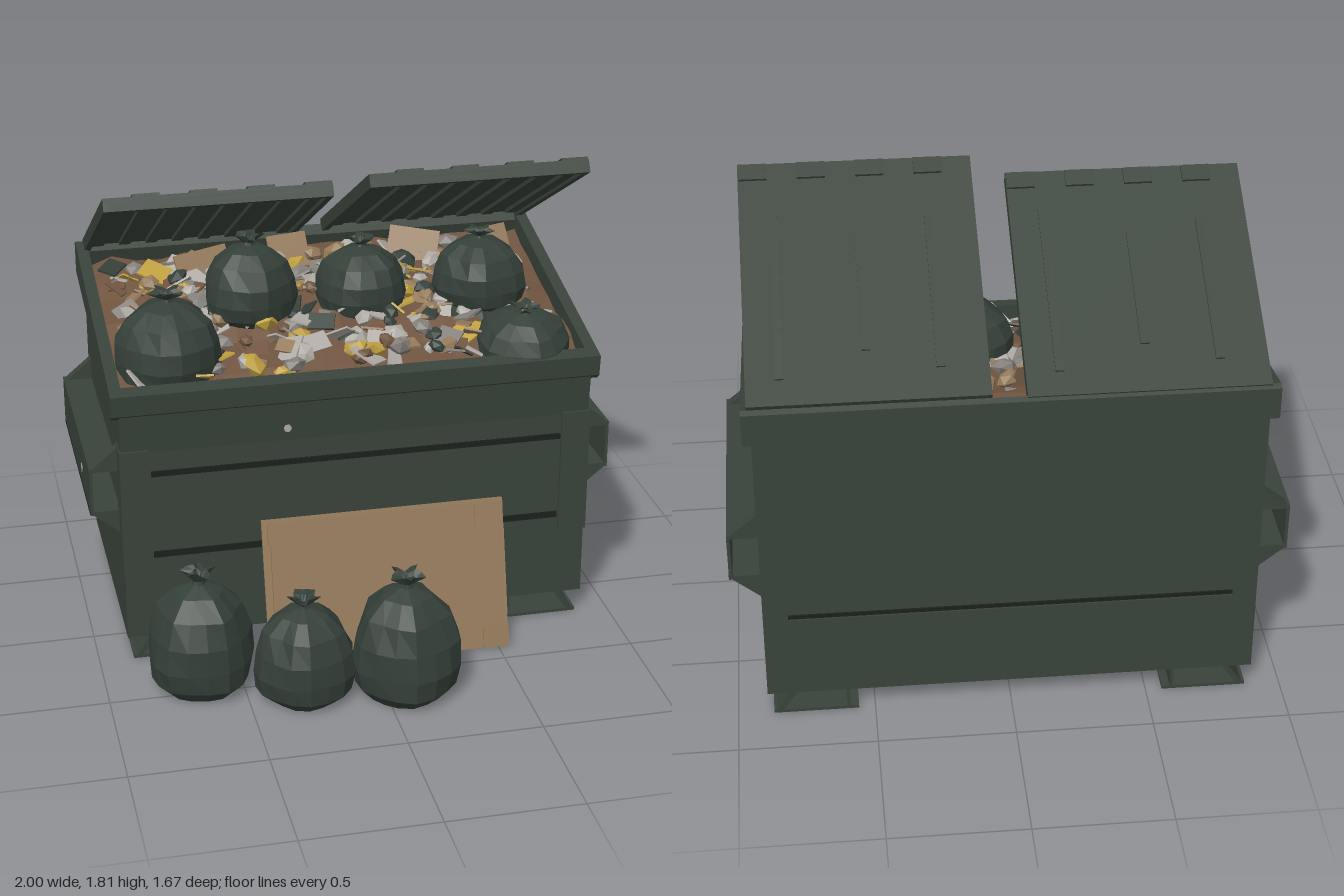
import * as THREE from 'three';
import { mergeGeometries } from 'three/addons/utils/BufferGeometryUtils.js';

const mat = (name, color, extra = {}) => {
  const m = new THREE.MeshStandardMaterial({ color, flatShading: true, ...extra });
  m.name = name;
  return m;
};

export function createModel() {
  const root = new THREE.Group();
  root.name = 'dumpster';
  const green = mat('dumpsterGreen', 0x39433b);
  const bagMat = mat('bagGreen', 0x354039, { side: THREE.DoubleSide });
  const dark = mat('seamDark', 0x1c211d);
  const card = mat('cardboard', 0x967b5c);
  const brown = mat('darkCardboard', 0x705540);
  const paper = mat('paper', 0xb0aba5);
  const grey = mat('greyPaper', 0x85807b);
  const yellow = mat('yellowRubbish', 0xc0a040);

  let seed = 7;
  const rnd = (a = 0, b = 1) => {
    seed = (seed * 16807) % 2147483647;
    return a + (b - a) * (seed / 2147483647);
  };
  const add = (name, geo, m, parent = root) => {
    const mesh = new THREE.Mesh(geo, m);
    mesh.name = name;
    parent.add(mesh);
    return mesh;
  };
  // box given by its limits on each axis
  const box = (name, m, x0, x1, y0, y1, z0, z1, parent = root) => {
    const g = new THREE.BoxGeometry(x1 - x0, y1 - y0, z1 - z0);
    g.translate((x0 + x1) / 2, (y0 + y1) / 2, (z0 + z1) / 2);
    return add(name, g, m, parent);
  };
  const shapeOf = (pts) => new THREE.Shape(pts.map((p) => new THREE.Vector2(p[0], p[1])));
  // side profile [z, y] pulled along x
  const sideExtrude = (name, pts, x0, x1, m = green) => {
    const g = new THREE.ExtrudeGeometry(shapeOf(pts), { depth: x1 - x0, bevelEnabled: false });
    g.rotateY(-Math.PI / 2).translate(x1, 0, 0);
    return add(name, g, m);
  };
  // front profile [x, y] pulled along z
  const frontExtrude = (name, pts, z0, z1, m = green) => {
    const g = new THREE.ExtrudeGeometry(shapeOf(pts), { depth: z1 - z0, bevelEnabled: false });
    return add(name, g.translate(0, 0, z0), m);
  };

  // body and its sloping rim
  sideExtrude('body', [[0.2, 0.1], [0.2, 0.86], [0.215, 1.02], [-0.81, 1.22], [-0.81, 0.1]], -0.89, 0.89);
  for (const s of [-1, 1]) {
    const [a, b] = s < 0 ? [-0.92, -0.875] : [0.875, 0.92];
    sideExtrude('sideRim', [[0.215, 1.02], [0.228, 1.1], [-0.81, 1.33], [-0.83, 1.2]], a, b);
  }
  sideExtrude('frontRim', [[0.2, 1.0], [0.222, 1.02], [0.23, 1.1], [0.17, 1.112], [0.17, 1.0]], -0.92, 0.92);
  sideExtrude('backRim', [[-0.8, 1.2], [-0.77, 1.3], [-0.81, 1.33], [-0.83, 1.32], [-0.83, 1.2]], -0.92, 0.92);

  // pressed ribs on front and back
  box('frontRib', green, -0.78, 0.78, 0.74, 0.785, 0.19, 0.212);
  box('frontRibSeam', dark, -0.78, 0.78, 0.765, 0.787, 0.206, 0.213);
  box('lowerFrontSeam', dark, -0.78, 0.78, 0.43, 0.455, 0.198, 0.205);
  box('backRib', green, -0.8, 0.8, 0.4, 0.44, -0.822, -0.8);
  box('backRibSeam', dark, -0.8, 0.8, 0.44, 0.455, -0.816, -0.808);

  for (const s of [-1, 1]) {
    const bx = (n, m, x0, x1, ...r) => box(n, m, Math.min(s * x0, s * x1), Math.max(s * x0, s * x1), ...r);
    bx('frontPost', green, 0.785, 0.895, 0.375, 0.87, 0.1, 0.212);
    // open fork pocket
    bx('pocketOuter', green, 0.988, 1, 0.595, 0.775, -0.76, 0.13);
    bx('pocketTop', green, 0.88, 1, 0.765, 0.78, -0.76, 0.13);
    bx('pocketBottom', green, 0.88, 1, 0.59, 0.605, -0.76, 0.13);
    bx('pocketSeam', dark, 0.996, 1.001, 0.588, 0.6, -0.75, 0.12);
    for (const z of [-0.76, 0.09]) {
      frontExtrude('pocketGusset', [[s * 0.88, 0.87], [s * 1, 0.77], [s * 0.88, 0.77]], z, z + 0.04);
      frontExtrude('pocketGusset', [[s * 0.88, 0.6], [s * 1, 0.6], [s * 0.88, 0.5]], z, z + 0.04);
    }
    // hollow skid under each end
    bx('skidPlate', green, 0.56, 0.87, 0.01, 0.022, -0.81, 0.2);
    bx('skidInnerWall', green, 0.59, 0.602, 0.02, 0.11, -0.81, 0.2);
    frontExtrude('skidOuterWall', [[s * 0.835, 0.02], [s * 0.86, 0.02], [s * 0.8, 0.11], [s * 0.775, 0.11]], -0.81, 0.2);
    const spot = add('sideSpot', new THREE.CylinderGeometry(0.018, 0.018, 0.006, 7).rotateZ(Math.PI / 2), paper);
    spot.position.set(s * 0.999, 0.67, -0.13);
  }
  add('frontSpot', new THREE.CylinderGeometry(0.015, 0.015, 0.006, 7).rotateX(Math.PI / 2), paper).position.set(-0.27, 0.91, 0.207);

  // propped lids with ribs, skirt and scalloped front edge
  const lid = (name, x0, x1, y, length, angle) => {
    const g = new THREE.Group();
    g.name = name;
    box('lidPanel', green, x0, x1, -0.005, 0.02, 0, length, g);
    for (const [a, b] of [[x0, x0 + 0.025], [x1 - 0.025, x1]]) box('lidSkirt', green, a, b, -0.03, 0, 0, length, g);
    box('lidLip', green, x0, x1, -0.03, 0, length - 0.025, length, g);
    const n = 8, step = (x1 - x0) / n;
    for (let i = 0; i < n; i++) {
      const x = x0 + (i + 0.5) * step;
      box('underRib', green, x - 0.022, x + 0.022, -0.02, 0, 0.06, length - 0.06, g);
      if (i % 2) box('edgeTab', green, x - 0.05, x + 0.05, 0.015, 0.03, length - 0.07, length - 0.005, g);
    }
    for (const [f, z0, z1] of [[0.2, 0.12, 0.75], [0.5, 0.2, 0.7], [0.86, 0.1, 0.82]]) {
      const x = x0 + f * (x1 - x0);
      box('topRidge', green, x - 0.015, x + 0.015, 0.015, 0.028, z0 * length, z1 * length, g);
    }
    g.position.set(0, y, -0.81);
    g.rotation.x = -angle;
    root.add(g);
  };
  lid('leftSideLid', 0.07, 0.9, 1.33, 0.985, 0.492);
  lid('rightSideLid', -0.89, -0.05, 1.315, 0.915, 0.497);

  // tied rubbish bag: pleated lathe with a flared knot
  const bag = (x, y, z, r, h, turn, tilt = 0) => {
    const prof = [[0, 0], [0.72, 0], [0.94, 0.1], [1, 0.27], [0.96, 0.48], [0.78, 0.68], [0.46, 0.82], [0.13, 0.88], [0.11, 0.91], [0.27, 0.99], [0.12, 0.97]];
    const g = new THREE.LatheGeometry(prof.map((p) => new THREE.Vector2(p[0] * r, p[1] * h)), 16);
    const p = g.attributes.position;
    for (let i = 0; i < p.count; i++) {
      const row = i % prof.length;
      const a = Math.atan2(p.getZ(i), p.getX(i));
      const pleat = row > 8 ? 0.35 : row > 4 ? 0.08 : 0.03;
      const k = 1 + pleat * Math.sin(5 * a + turn) + 0.025 * Math.sin(3 * a + row * 1.7 + turn);
      p.setXYZ(i, p.getX(i) * k, p.getY(i) + (row > 8 ? 0.02 * h * Math.sin(3 * a) : 0), p.getZ(i) * k);
    }
    const m = add('rubbishBag', g, bagMat);
    m.position.set(x, y, z);
    m.rotation.set(tilt, turn, tilt * 0.6);
  };
  bag(-0.65, 0.01, 0.43, 0.195, 0.475, 0.4);
  bag(-0.29, 0.01, 0.58, 0.185, 0.405, 1.9);
  bag(0.08, 0.01, 0.635, 0.2, 0.485, 3.1);
  bag(-0.67, 1.04, -0.04, 0.2, 0.355, 0.9);
  bag(-0.32, 1.17, -0.27, 0.175, 0.335, 2.2);
  bag(0.12, 1.15, -0.3, 0.175, 0.3, 3.7);
  bag(0.58, 1.16, -0.27, 0.18, 0.3, 5);
  bag(0.67, 1.02, 0.03, 0.18, 0.25, 1.3, 0.12);

  // heaped rubbish: lumpy bed and scattered scraps
  const heapY = (x, z) => {
    const t = (0.2 - z) / 1.0;
    return 1.045 + 0.21 * t + 0.06 * (1 - (x / 0.9) ** 2) * Math.sin(Math.PI * Math.min(1, Math.max(0, t)));
  };
  const bed = new THREE.PlaneGeometry(1.76, 0.96, 18, 10).rotateX(-Math.PI / 2).translate(0, 0, -0.3);
  const bp = bed.attributes.position;
  for (let i = 0; i < bp.count; i++) bp.setY(i, heapY(bp.getX(i), bp.getZ(i)) + rnd(-0.02, 0.02));
  add('rubbishBed', bed, brown);

  const scraps = new Map();
  const kinds = [paper, paper, paper, grey, grey, card, card, brown, yellow, bagMat];
  for (let i = 0; i < 330; i++) {
    const m = kinds[Math.floor(rnd(0, kinds.length - 0.001))];
    const x = rnd(-0.8, 0.8), z = rnd(-0.7, 0.12), s = rnd(0.03, 0.07);
    const g = i % 2
      ? new THREE.IcosahedronGeometry(s * 0.9, 0).scale(1, 0.6, rnd(0.6, 1))
      : new THREE.BoxGeometry(s * 2, 0.008, s * 1.4).toNonIndexed();
    g.rotateX(rnd(-0.7, 0.7)).rotateZ(rnd(-0.6, 0.6)).rotateY(rnd(0, 6.28));
    g.translate(x, heapY(x, z) + rnd(0, 0.035), z);
    if (!scraps.has(m)) scraps.set(m, []);
    scraps.get(m).push(g);
  }
  for (const [m, list] of scraps) add('scraps', mergeGeometries(list), m);

  // torn cardboard standing at the back of the heap
  for (const [x, z, w, tilt] of [[-0.45, -0.55, 0.22, 0.2], [0.4, -0.6, 0.2, -0.25], [-0.1, -0.62, 0.16, 0.1], [0.72, -0.6, 0.16, 0.15]]) {
    const m = add('heapCardboard', new THREE.BoxGeometry(w, 0.14, 0.01), card);
    m.position.set(x, heapY(x, z) + 0.045, z);
    m.rotation.set(-0.5, tilt, tilt);
  }

  // flattened box leaning on the front
  const sheet = (name, m, x0, x1, h, z, lean, flaps) => {
    const g = new THREE.Group();
    g.name = name;
    box('sheet', m, x0, x1, 0, h, -0.012, 0, g);
    for (const [a, b, c, d] of flaps) box('flap', m, a, b, c, d, -0.006, 0.006, g);
    g.position.set(0, 0.012, z);
    g.rotation.x = -lean;
    root.add(g);
  };
  sheet('frontCardboard', card, -0.36, 0.53, 0.575, 0.415, 0.2, [[-0.37, -0.25, 0.49, 0.57], [0.42, 0.53, 0.49, 0.573], [0.44, 0.54, 0, 0.09]]);
  sheet('backCardboard', card, -0.38, 0.55, 0.56, 0.375, 0.255, [[0.45, 0.55, 0.1, 0.46]]);

  return root;
}
